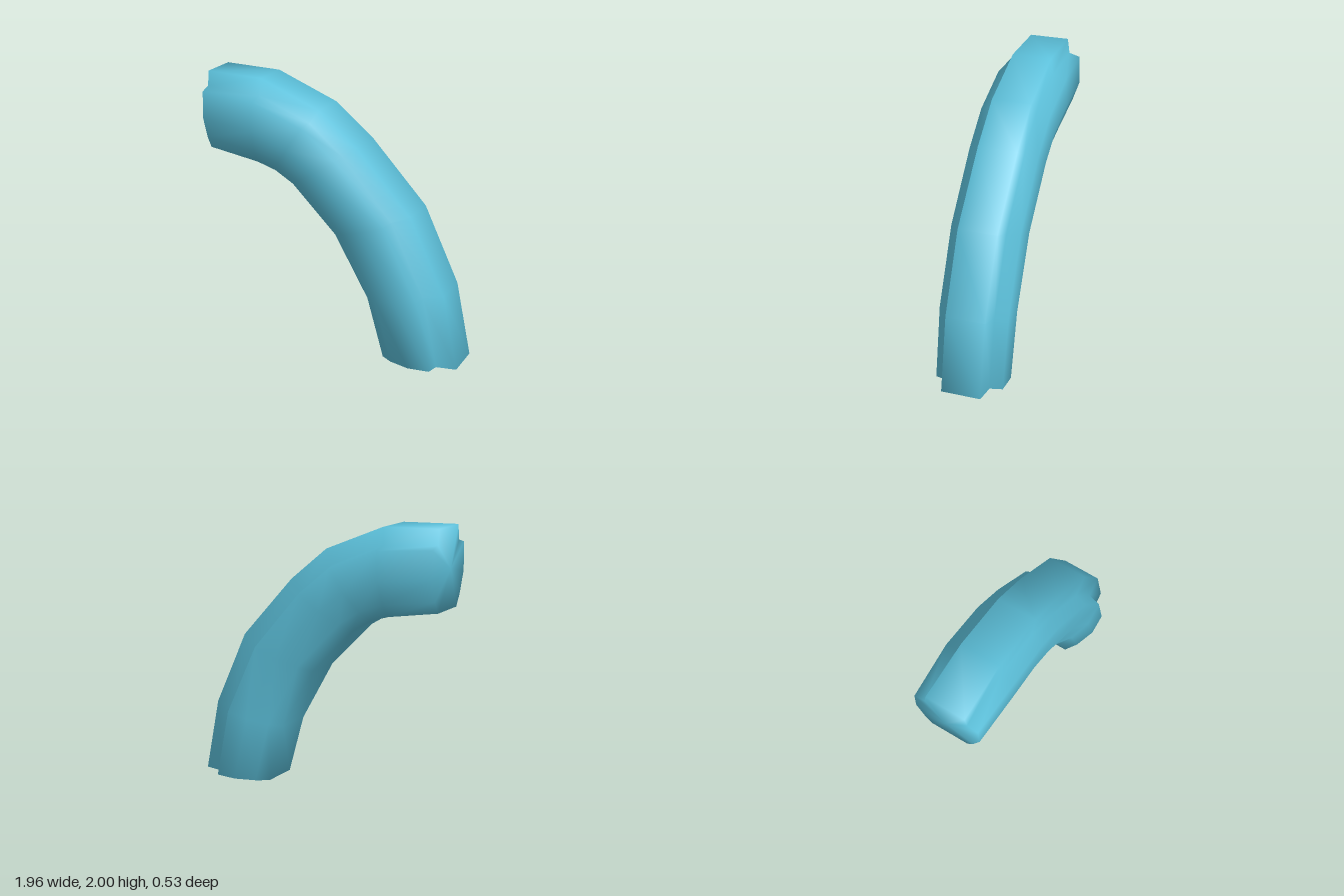
import * as THREE from 'three';

// Stations along the bend: outer edge x,y, inner edge x,y, depth of the notched shoulder (0..1), half width
const STATIONS = [
  [-0.96, 2.00, -0.96, 1.43, 0.23, 0.245],
  [-0.54, 1.985, -0.58, 1.365, 0.24, 0.265],
  [-0.09, 1.80, -0.44, 1.32, 0.24, 0.262],
  [0.20, 1.56, -0.30, 1.235, 0.25, 0.26],
  [0.61, 1.11, 0.03, 0.90, 0.28, 0.26],
  [0.865, 0.56, 0.285, 0.45, 0.29, 0.26],
  [0.975, 0.02, 0.41, 0.01, 0.30, 0.255],
];

// Half cross-section from outer to inner edge: [fraction across, z]
function halfSection(notch, w) {
  return [
    [0, 0.145],
    [notch - 0.04, 0.16],
    [notch, w - 0.005],
    [0.58, w],
    [0.85, w - 0.055],
    [1, 0.14],
  ];
}

function sweptElbow() {
  const positions = [];
  const index = [];
  let n = 0;

  // Rings: front half outer to inner, then the mirrored back half
  for (const [ox, oy, ix, iy, notch, w] of STATIONS) {
    const half = halfSection(notch, w);
    const ring = [...half, ...half.map(([t, z]) => [t, -z]).reverse()];
    n = ring.length;
    for (const [t, z] of ring) {
      positions.push(ox + (ix - ox) * t, oy + (iy - oy) * t, z);
    }
  }

  // Walls between neighbouring rings
  const last = STATIONS.length - 1;
  for (let i = 0; i < last; i++) {
    for (let j = 0; j < n; j++) {
      const k = (j + 1) % n;
      const a = i * n + j, b = i * n + k, c = a + n, d = b + n;
      index.push(a, b, c, b, d, c);
    }
  }

  // Slightly domed end caps, sharing vertices with the walls for soft shading
  const start = positions.length / 3;
  positions.push(-0.98, 1.715, 0, 0.69, 0, 0);
  for (let j = 0; j < n; j++) {
    const k = (j + 1) % n;
    index.push(start, k, j);
    index.push(start + 1, last * n + j, last * n + k);
  }

  const geometry = new THREE.BufferGeometry();
  geometry.setAttribute('position', new THREE.Float32BufferAttribute(positions, 3));
  geometry.setIndex(index);
  geometry.computeVertexNormals();
  return geometry;
}

export function createModel() {
  const group = new THREE.Group();
  group.name = 'bentPipe';
  const material = new THREE.MeshStandardMaterial({ color: 0x5cc0da });
  const pipe = new THREE.Mesh(sweptElbow(), material);
  pipe.name = 'curvedPipe';
  group.add(pipe);
  return group;
}
